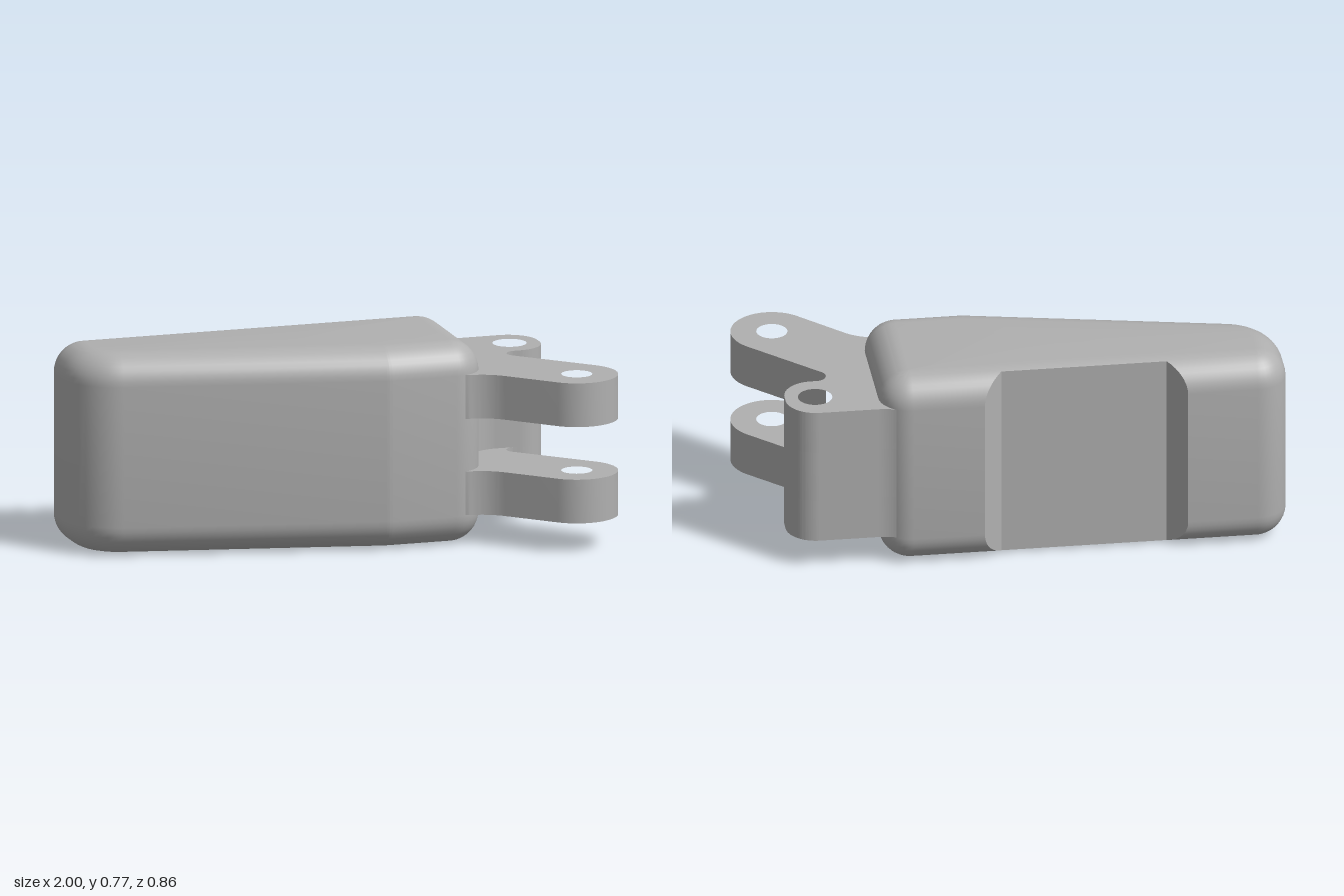
import * as THREE from 'three';
import { toCreasedNormals } from 'three/addons/utils/BufferGeometryUtils.js';

const HEIGHT = 0.766, FILLET = 0.115, BACK = -0.432, RECESS = 0.071;

// Plan corners of the body: x, z, corner radius
const CORNERS = [
  [-1, BACK, 0.118], [0.526, BACK, 0.118], [0.526, 0.176, 0.118],
  [0.15, 0.176, 0.118], [-1, -0.06, 0.22],
];

// Body plan shrunk by d, with the recess cut into its back edge
function bodyOutline(d) {
  const pts = [], n = CORNERS.length, steps = 10;
  const inward = (a, b) => new THREE.Vector2(a[1] - b[1], b[0] - a[0]).normalize();
  CORNERS.forEach((p, i) => {
    const n1 = inward(CORNERS[(i + n - 1) % n], p);
    const n2 = inward(p, CORNERS[(i + 1) % n]);
    const k = p[2] / (1 + n1.dot(n2));
    const cx = p[0] + (n1.x + n2.x) * k, cz = p[1] + (n1.y + n2.y) * k;
    const a1 = n1.angle();
    const turn = (n2.angle() - a1 + Math.PI * 2) % (Math.PI * 2);
    for (let s = 0; s <= steps; s++) {
      const a = a1 + turn * s / steps;
      pts.push([cx - (p[2] - d) * Math.cos(a), cz - (p[2] - d) * Math.sin(a)]);
    }
    if (i === 0) {
      const m = Math.min(d, RECESS), edge = BACK + d, floor = Math.max(BACK + RECESS, edge);
      pts.push([-0.62 + m, edge], [-0.62 + RECESS, floor], [0.142 - RECESS, floor], [0.142 - m, edge]);
    }
  });
  return pts;
}

// Body: stacked outlines with rounded top and bottom rims
function bodyGeometry() {
  const angles = [Math.acos(1 - RECESS / FILLET)];
  for (let i = 0; i <= 9; i++) angles.push(i / 9 * Math.PI / 2);
  angles.sort((a, b) => a - b);
  const levels = [];
  for (const t of [...angles].reverse()) levels.push([FILLET * (1 - Math.cos(t)), FILLET * (1 - Math.sin(t))]);
  for (const t of angles) levels.push([FILLET * (1 - Math.cos(t)), HEIGHT - FILLET * (1 - Math.sin(t))]);
  const rings = levels.map(([d, y]) => bodyOutline(d).map(([x, z]) => new THREE.Vector3(x, y, z)));

  const out = [], tri = new THREE.Triangle();
  const add = (a, b, c) => {
    tri.set(a, b, c);
    if (tri.getArea() > 1e-8) for (const v of [a, b, c]) out.push(v.x, v.y, v.z);
  };
  const count = rings[0].length;
  for (let r = 0; r < rings.length - 1; r++) {
    for (let i = 0; i < count; i++) {
      const j = (i + 1) % count;
      add(rings[r][i], rings[r + 1][i], rings[r][j]);
      add(rings[r][j], rings[r + 1][i], rings[r + 1][j]);
    }
  }
  const low = new THREE.Vector3(-0.2, 0, -0.15), high = new THREE.Vector3(-0.2, HEIGHT, -0.15);
  const bottom = rings[0], top = rings[rings.length - 1];
  for (let i = 0; i < count; i++) {
    const j = (i + 1) % count;
    add(low, bottom[i], bottom[j]);
    add(high, top[j], top[i]);
  }
  const geo = new THREE.BufferGeometry();
  geo.setAttribute('position', new THREE.Float32BufferAttribute(out, 3));
  return toCreasedNormals(geo, 0.5);
}

function addHole(shape, x, y, r) {
  const hole = new THREE.Path();
  hole.absarc(x, y, r, 0, Math.PI * 2, true);
  shape.holes.push(hole);
}

// Start of every hinge plan (shape y is -z): the rear knuckle, down to its front face
function rearKnuckle() {
  const s = new THREE.Shape(), r = 0.113;
  s.moveTo(0.4, 0.4);
  s.lineTo(0.45, 0.423);
  s.quadraticCurveTo(0.49, 0.401, 0.54, 0.401);
  s.lineTo(0.757, 0.401);
  s.absarc(0.757, 0.401 - r, r, Math.PI / 2, 0, true);
  s.absarc(0.757, 0.145 + r, r, 0, -Math.PI / 2, true);
  addHole(s, 0.757, 0.271, 0.064);
  return s;
}

// Forked plate: rear knuckle plus the diagonal front arm
function forkShape() {
  const s = rearKnuckle(), q = Math.PI / 4;
  s.lineTo(0.735, 0.145);
  s.absarc(0.735, 0.105, 0.04, Math.PI / 2, q * 5, false);
  s.absarc(0.846, -0.275, 0.154, q, -3 * q, true);
  s.lineTo(0.582, -0.229);
  s.quadraticCurveTo(0.529, -0.176, 0.454, -0.174);
  s.lineTo(0.4, -0.15);
  addHole(s, 0.846, -0.275, 0.058);
  return s;
}

// Middle of the rear knuckle, blended into the body
function middleShape() {
  const s = rearKnuckle();
  s.lineTo(0.666, 0.145);
  s.absarc(0.666, 0.005, 0.14, Math.PI / 2, Math.PI, false);
  s.lineTo(0.4, 0.005);
  return s;
}

function slab(shape, y0, y1) {
  const geo = new THREE.ExtrudeGeometry(shape, { depth: y1 - y0, bevelEnabled: false, curveSegments: 20 });
  geo.rotateX(-Math.PI / 2);
  geo.translate(0, y0, 0);
  return toCreasedNormals(geo, 0.5);
}

export function createModel() {
  const model = new THREE.Group();
  model.name = 'hingedBlock';
  const grey = new THREE.MeshStandardMaterial({ color: 0xb0b0b0 });
  grey.name = 'grey';

  const add = (name, geo) => {
    const mesh = new THREE.Mesh(geo, grey);
    mesh.name = name;
    model.add(mesh);
  };

  add('body', bodyGeometry());
  add('lowerFork', slab(forkShape(), 0.117, 0.284));
  add('rearKnuckleMiddle', slab(middleShape(), 0.284, 0.485));
  add('upperFork', slab(forkShape(), 0.485, 0.652));
  return model;
}
